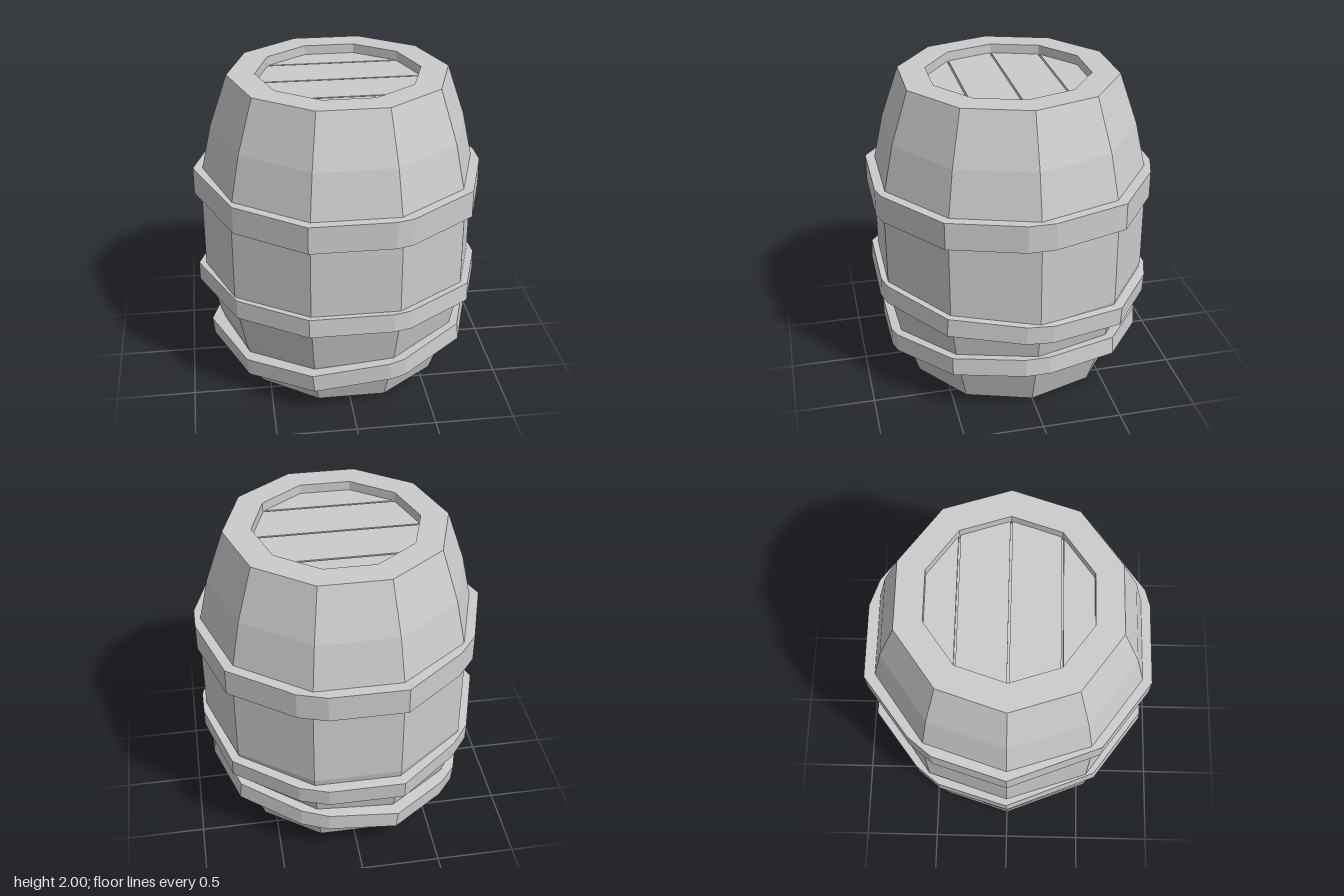
import * as THREE from 'three';

const SIDES = 10;
const CENTRE_X = 0.01;
const material = new THREE.MeshStandardMaterial({ color: 0xcccccc, flatShading: true, side: THREE.DoubleSide });

function part(name, geometry, parent) {
  const mesh = new THREE.Mesh(geometry, material);
  mesh.name = name;
  parent.add(mesh);
  return mesh;
}

// Extrudes a flat x/z outline upwards; an optional scale cuts a matching hole.
function slab(points, height, holeScale = 0) {
  const toVectors = (s) => points.map(([x, z]) => new THREE.Vector2(x * s, -z * s));
  const shape = new THREE.Shape(toVectors(1));
  if (holeScale) shape.holes.push(new THREE.Path(toVectors(holeScale)));
  return new THREE.ExtrudeGeometry(shape, { depth: height, bevelEnabled: false }).rotateX(-Math.PI / 2);
}

// Slightly uneven hammered hoop outline (x, z)
const hoopOutline = [
  [0.92, -0.08], [0.92, 0.09], [0.77, 0.55], [0.345, 0.86], [0.24, 0.89],
  [-0.28, 0.89], [-0.7, 0.58], [-0.925, 0], [-0.78, -0.46], [-0.66, -0.61],
  [-0.28, -0.9], [0.2, -0.9], [0.38, -0.84], [0.77, -0.555],
];

function addHoop(parent, name, { x = 0, y, height, size = 1, tiltX = 0, tiltZ = 0 }) {
  const outline = hoopOutline.map(([px, pz]) => [px * size, pz * size]);
  const geometry = slab(outline, height, 0.87).translate(0, -height / 2, 0);
  const hoop = part(name, geometry, parent);
  hoop.position.set(x, y, 0);
  hoop.rotation.set(tiltX, 0, tiltZ);
}

// Four planks filling the ten-sided opening, split at its corners
function addPlanks(parent, name, y) {
  const group = new THREE.Group();
  group.name = name;
  const rows = [[0, 0.52], [0.306, 0.42], [0.495, 0.16]];
  const gap = 0.006;
  for (const side of [1, -1]) {
    for (let i = 0; i < 2; i++) {
      const [z0, w0] = rows[i];
      const [z1, w1] = rows[i + 1];
      const a = (z0 + gap) * side;
      const b = (i === 0 ? z1 - gap : z1) * side;
      part('plank', slab([[-w0, a], [w0, a], [w1, b], [-w1, b]], 0.03), group);
    }
  }
  group.position.set(CENTRE_X, y, 0);
  parent.add(group);
}

export function createModel() {
  const barrel = new THREE.Group();
  barrel.name = 'barrel';

  // Staved body with flat rims and recessed ends
  const profile = [
    [0.52, 0.14], [0.52, 0], [0.695, 0], [0.81, 0.33], [0.888, 0.68],
    [0.888, 1.32], [0.81, 1.67], [0.695, 2], [0.52, 2], [0.52, 1.91],
  ].map(([r, y]) => new THREE.Vector2(r, y));
  const body = part('body', new THREE.LatheGeometry(profile, SIDES, Math.PI / 2), barrel);
  body.position.x = CENTRE_X;

  // Backing behind the plank gaps
  const core = part('endBacking',
    new THREE.CylinderGeometry(0.52, 0.52, 1.77, SIDES, 1, false, Math.PI / 2), barrel);
  core.position.set(CENTRE_X, 1.025, 0);

  addPlanks(barrel, 'lidPlanks', 1.91);
  addPlanks(barrel, 'basePlanks', 0.11);

  // Hoops: one level, two that have slipped
  addHoop(barrel, 'upperHoop', { y: 1.297, height: 0.175 });
  addHoop(barrel, 'middleHoop', { y: 0.63, height: 0.12, tiltX: 0.07 * -1 });
  addHoop(barrel, 'lowerHoop', { x: 0.01, y: 0.275, height: 0.115, size: 0.94, tiltZ: 0.103 });

  return barrel;
}
